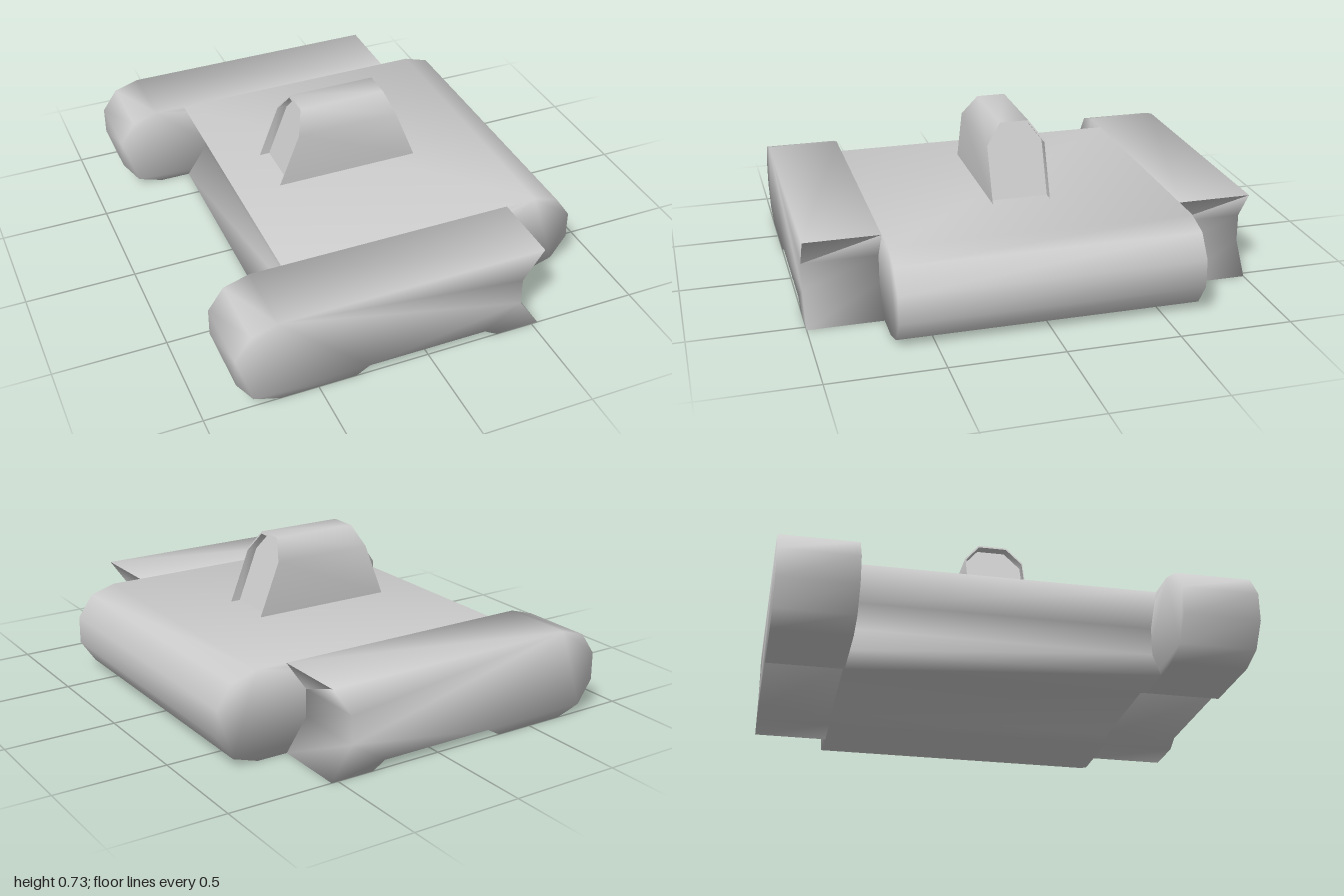
import * as THREE from 'three';
import { mergeVertices } from 'three/addons/utils/BufferGeometryUtils.js';

const material = new THREE.MeshStandardMaterial({ color: 0xcccccc });
const thinMaterial = new THREE.MeshStandardMaterial({ color: 0xcccccc, side: THREE.DoubleSide });

// Share vertices so the shading runs smoothly over every edge
function smooth(geometry) {
  geometry.deleteAttribute('uv');
  geometry.deleteAttribute('normal');
  const merged = mergeVertices(geometry, 1e-4);
  merged.computeVertexNormals();
  return merged;
}

// Side outline: bevelled nose at -x, shallow belly recess, notched tail at +x
const outline = [
  [-0.855, 0.265], [-0.855, 0.14], [-0.785, 0.037], [-0.67, 0],
  [-0.33, 0], [-0.27, 0.035], [0.27, 0.035], [0.33, 0],
  [0.53, 0], [0.435, 0.14], [0.435, 0.265], [0.53, 0.4],
  [-0.67, 0.4], [-0.785, 0.365],
].map(([x, y]) => new THREE.Vector2(x, y));

function slab(name, width, z) {
  const geometry = new THREE.ExtrudeGeometry(new THREE.Shape(outline), { depth: width, bevelEnabled: false });
  geometry.translate(0, 0, -width / 2);
  const mesh = new THREE.Mesh(smooth(geometry), material);
  mesh.name = name;
  mesh.position.z = z;
  return mesh;
}

// Skin through open rings of points, listed from -x to +x
function loft(rings) {
  const n = rings[0].length;
  const index = [];
  for (let r = 0; r < rings.length - 1; r++) {
    for (let i = 0; i < n - 1; i++) {
      const a = r * n + i, b = a + n;
      index.push(a, b, a + 1, b, b + 1, a + 1);
    }
  }
  return fromPoints(rings.flat(), index);
}

function fromPoints(points, index) {
  const geometry = new THREE.BufferGeometry().setFromPoints(points);
  geometry.setIndex(index);
  geometry.computeVertexNormals();
  return geometry;
}

// Cabin cross-section (z, y): upright sides, bevelled roof
const section = [[0.133, 0.4], [0.133, 0.64], [0.065, 0.73], [-0.065, 0.73], [-0.133, 0.64], [-0.133, 0.4]];

// One sloping end ring; shrink thins it towards the lip, inset sinks it
function cabinRing(end, shrink = 1, inset = 0) {
  return section.map(([z, y]) => {
    const yy = 0.4 + (y - 0.4) * shrink;
    return new THREE.Vector3(end * (0.33 - (yy - 0.4) * 0.394 - inset), yy, z * shrink);
  });
}

function createCabin() {
  const cabin = new THREE.Group();
  cabin.name = 'cabin';
  const add = (name, geometry) => {
    const mesh = new THREE.Mesh(geometry, thinMaterial);
    mesh.name = name;
    cabin.add(mesh);
  };
  add('cabinShell', loft([cabinRing(-1), cabinRing(1)]));

  // Shallow recess in each sloping end, with a thin lip around it
  for (const end of [-1, 1]) {
    const outer = cabinRing(end), lip = cabinRing(end, 0.97), floor = cabinRing(end, 0.97, 0.045);
    const order = (a, b) => (end > 0 ? [a, b] : [b, a]);
    add('endLip', loft(order(outer, lip)));
    add('recessWall', loft(order(lip, floor)));
    const fan = [];
    for (let i = 1; i < section.length - 1; i++) fan.push(0, ...(end > 0 ? [i + 1, i] : [i, i + 1]));
    add('recessFloor', fromPoints(floor, fan));
  }
  return cabin;
}

export function createModel() {
  const model = new THREE.Group();
  model.name = 'vehicle';

  // Wide hull, turned so its nose faces +x
  const hull = slab('hull', 1.333, 0);
  hull.rotation.y = Math.PI;
  model.add(hull);

  // Side pods
  model.add(slab('leftPod', 0.333, 0.8335), slab('rightPod', 0.333, -0.8335));
  model.getObjectByName('leftPod').name = 'frontPod';
  model.getObjectByName('rightPod').name = 'backPod';

  model.add(createCabin());
  return model;
}
